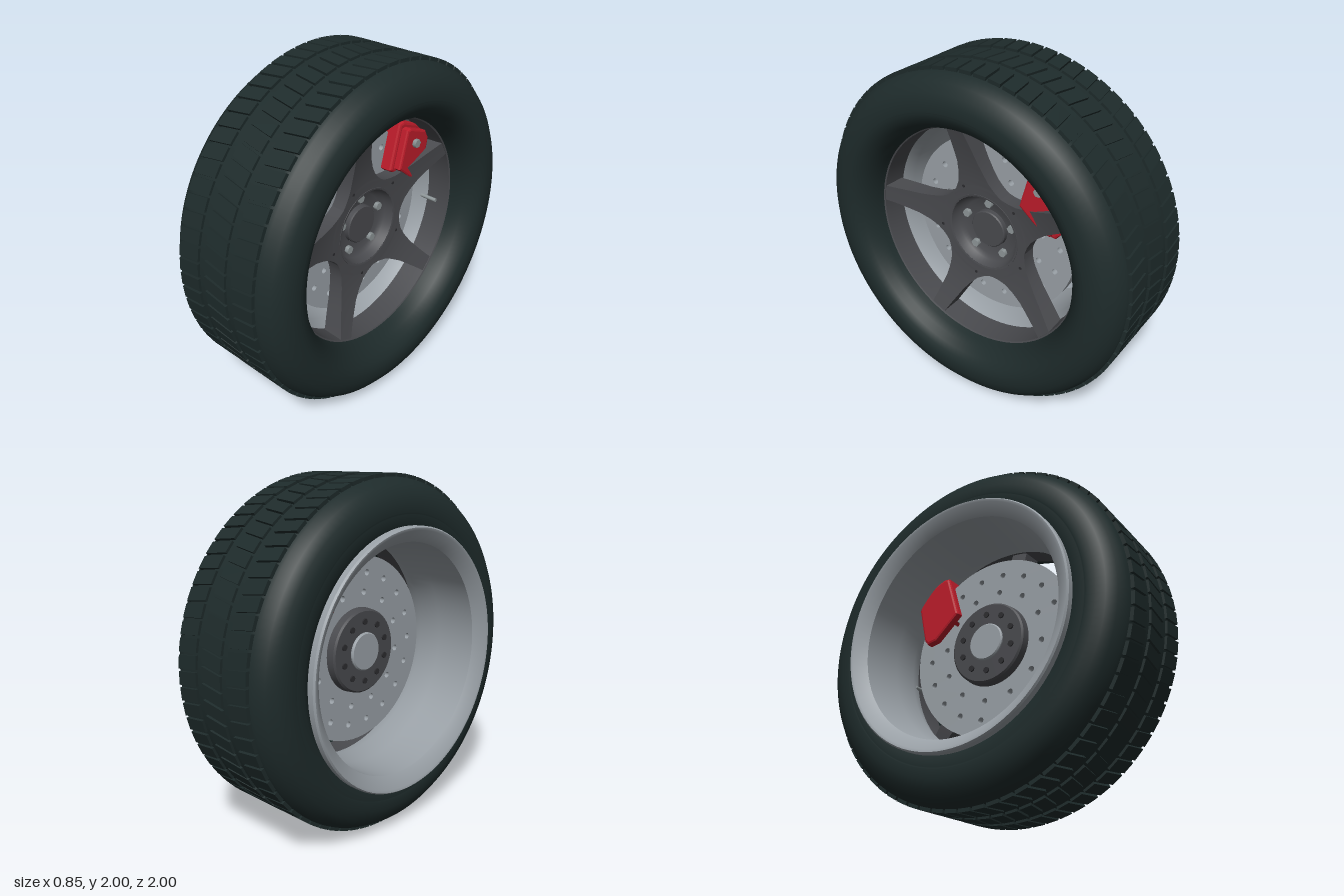
import * as THREE from 'three';
import { mergeGeometries, toCreasedNormals } from 'three/addons/utils/BufferGeometryUtils.js';

const material = (name, color, side = THREE.FrontSide) => {
  const m = new THREE.MeshStandardMaterial({ color, side });
  m.name = name;
  return m;
};
const RAD = Math.PI / 180;

// Wheel axis runs along x; [r, x] profiles are turned about it.
function turned(profile, segments = 96, crease = 0.6) {
  const g = new THREE.LatheGeometry(profile.map(([r, x]) => new THREE.Vector2(r, x)), segments);
  g.rotateZ(-Math.PI / 2);
  return crease ? toCreasedNormals(g, crease) : g;
}

// Flat outline seen from the outer side, extruded from x0 to x1.
function plate(shape, x0, x1, bevel, curveSegments = 12) {
  const g = new THREE.ExtrudeGeometry(shape, {
    depth: x1 - x0 - 2 * bevel, curveSegments, bevelEnabled: bevel > 0,
    bevelSize: bevel, bevelThickness: bevel, bevelOffset: -bevel, bevelSegments: 2,
  });
  g.translate(0, 0, x0 + bevel);
  return g.rotateY(Math.PI / 2);
}

// Round or hexagonal stud along x; u is to the right seen from outside.
function stud(radius, x0, x1, u, v, sides = 16) {
  const g = new THREE.CylinderGeometry(radius, radius, x1 - x0, sides);
  g.rotateZ(-Math.PI / 2);
  return g.translate((x0 + x1) / 2, v, -u);
}

// Studs evenly spaced on a circle, starting at an angle clockwise from the top.
function studRing(count, ring, start, radius, x0, x1, sides) {
  return mergeGeometries(Array.from({ length: count }, (_, i) => {
    const a = start * RAD + i * 2 * Math.PI / count;
    return stud(radius, x0, x1, ring * Math.sin(a), ring * Math.cos(a), sides);
  }));
}

// Curved spoke lofted outward: [radius, half angle, front x, back x] per section.
function spokeGeometry(sections, centreAngle) {
  const cols = 8, ring = 2 * (cols + 1), pos = [], index = [];
  sections.forEach(([r, half, front, back], i) => {
    for (let k = 0; k < ring; k++) {
      const onFront = k <= cols;
      const t = onFront ? k / cols : (ring - 1 - k) / cols;
      const a = (centreAngle + half * (2 * t - 1)) * RAD;
      pos.push(onFront ? front : back, r * Math.cos(a), -r * Math.sin(a));
      if (i === sections.length - 1) continue;
      const n = (k + 1) % ring, p = i * ring, q = p + ring;
      index.push(p + k, p + n, q + n, p + k, q + n, q + k);
    }
  });
  const g = new THREE.BufferGeometry();
  g.setAttribute('position', new THREE.Float32BufferAttribute(pos, 3));
  g.setIndex(index);
  return toCreasedNormals(g, 0.7);
}

// One row of slanted tread blocks around the tyre.
function treadRow(x0, x1, slope, count, offset) {
  const blocks = [];
  for (let i = 0; i < count; i++) {
    const g = new THREE.BoxGeometry(x1 - x0, 2 * Math.PI / count * 0.82, 0.03);
    const p = g.attributes.position;
    for (let k = 0; k < p.count; k++) p.setY(k, p.getY(k) + slope * p.getX(k));
    g.computeVertexNormals();
    g.translate((x0 + x1) / 2, 0, 0.984);
    g.rotateX((i + offset) / count * 2 * Math.PI);
    blocks.push(g);
  }
  return mergeGeometries(blocks);
}

export function createModel() {
  const rubber = material('rubber', 0x1e2b2b, THREE.DoubleSide);
  const silver = material('silver', 0x99a0a6, THREE.DoubleSide);
  const darkMetal = material('dark metal', 0x494a4e, THREE.DoubleSide);
  const red = material('caliper red', 0xbd1c2a);
  const steel = material('bolt steel', 0x8e9698);
  const black = material('dark fitting', 0x2c2c2f);

  const model = new THREE.Group();
  const wheel = new THREE.Group();
  wheel.name = 'wheel';
  wheel.position.y = 1;
  model.add(wheel);
  const add = (name, geometry, mat) => {
    const m = new THREE.Mesh(geometry, mat);
    m.name = name;
    wheel.add(m);
  };

  // Tyre carcass with a fine ridge on each sidewall
  add('tyre', turned([
    [0.67, -0.30], [0.70, -0.345], [0.74, -0.362], [0.79, -0.368], [0.795, -0.362], [0.80, -0.37],
    [0.85, -0.366], [0.90, -0.352], [0.945, -0.316], [0.975, -0.265], [0.985, -0.22],
    [0.986, 0.025],
    [0.985, 0.27], [0.975, 0.315], [0.945, 0.366], [0.90, 0.402], [0.85, 0.416],
    [0.80, 0.42], [0.795, 0.412], [0.79, 0.418], [0.755, 0.405], [0.72, 0.378],
    [0.69, 0.335], [0.674, 0.285], [0.665, 0.235],
  ], 128, 0), rubber);

  // Tread
  add('innerTread', treadRow(-0.245, -0.10, 0.14, 72, 0), rubber);
  add('centreTread', treadRow(-0.05, 0.10, -0.16, 72, 0.5), rubber);
  add('outerTread', treadRow(0.15, 0.295, 0.14, 72, 0), rubber);

  // Rim: open barrel with a wide chamfered flange inside, darker lip outside
  add('rimBarrel', turned([
    [0.68, -0.34], [0.725, -0.37], [0.735, -0.38], [0.735, -0.415], [0.727, -0.425],
    [0.712, -0.422], [0.648, -0.365], [0.64, -0.12], [0.628, 0.02], [0.654, 0.10],
  ]), silver);
  add('rimLip', turned([
    [0.654, 0.10], [0.657, 0.20], [0.66, 0.245], [0.668, 0.25], [0.67, 0.20],
  ]), darkMetal);

  // Five dished spokes merging into the centre
  const sections = [
    [0.225, 36, 0.154, 0.072], [0.275, 36, 0.156, 0.072], [0.285, 36, 0.157, 0.072],
    [0.29, 31, 0.157, 0.072], [0.30, 26, 0.158, 0.072], [0.33, 18.5, 0.161, 0.073],
    [0.38, 13, 0.168, 0.076], [0.45, 8.8, 0.182, 0.083], [0.52, 6.8, 0.20, 0.092],
    [0.59, 5.3, 0.22, 0.102], [0.66, 4.3, 0.242, 0.115],
  ];
  for (let i = 0; i < 5; i++) add('spoke', spokeGeometry(sections, -10.5 + i * 72), darkMetal);
  add('spokeScrews', studRing(5, 0.292, 46, 0.009, 0.145, 0.16, 10), black);

  // Recessed dished hub, cap and wheel bolts
  add('hub', turned([
    [0.238, 0.15], [0.236, 0.157], [0.226, 0.155], [0.208, 0.105], [0.18, 0.086], [0.115, 0.08],
  ], 64, 0.9), darkMetal);
  add('hubCap', turned([[0.115, 0.07], [0.113, 0.104], [0.107, 0.11], [0, 0.11]], 48), darkMetal);
  add('wheelBolts', studRing(5, 0.163, 0, 0.025, 0.075, 0.108, 6), steel);

  // Drilled brake disc
  const disc = new THREE.Shape().absarc(0, 0, 0.545, 0, Math.PI * 2);
  const drill = (count, ring, start) => {
    for (let i = 0; i < count; i++) {
      const a = (start + i * 360 / count) * RAD;
      disc.holes.push(new THREE.Path().absarc(ring * Math.sin(a), ring * Math.cos(a), 0.018, 0, Math.PI * 2, true));
    }
  };
  drill(18, 0.448, 10);
  drill(12, 0.336, 21);
  add('brakeDisc', plate(disc, -0.015, 0.055, 0, 40), silver);

  // Bearing carrier behind the disc
  add('carrier', turned([
    [0, -0.07], [0.235, -0.07], [0.245, -0.06], [0.25, -0.01],
  ], 64), darkMetal);
  add('axleStub', turned([[0, -0.085], [0.105, -0.085], [0.112, -0.078], [0.112, -0.065]], 48), silver);
  add('carrierBolts', studRing(10, 0.175, 0, 0.018, -0.078, -0.065, 10), black);

  // Brake caliper: body, raised face plate and bolt
  const outline = [[0.30, 0.525], [0.335, 0.53], [0.50, 0.465], [0.535, 0.40], [0.48, 0.14],
    [0.455, 0.11], [0.39, 0.12], [0.225, 0.26]];
  const caliperShape = (s) => new THREE.Shape(outline.map(([u, v]) =>
    new THREE.Vector2(0.39 + (u - 0.39) * s, 0.33 + (v - 0.33) * s)));
  add('caliperBody', plate(caliperShape(1), -0.06, 0.13, 0.015), red);
  add('caliperFace', plate(caliperShape(0.84), 0.11, 0.175, 0.012), red);
  add('caliperBolt', stud(0.026, 0.16, 0.198, 0.38, 0.40, 6), steel);

  // Valve stem
  add('valveStem', stud(0.012, 0.06, 0.17, 0.64, -0.09, 12), steel);

  return model;
}
